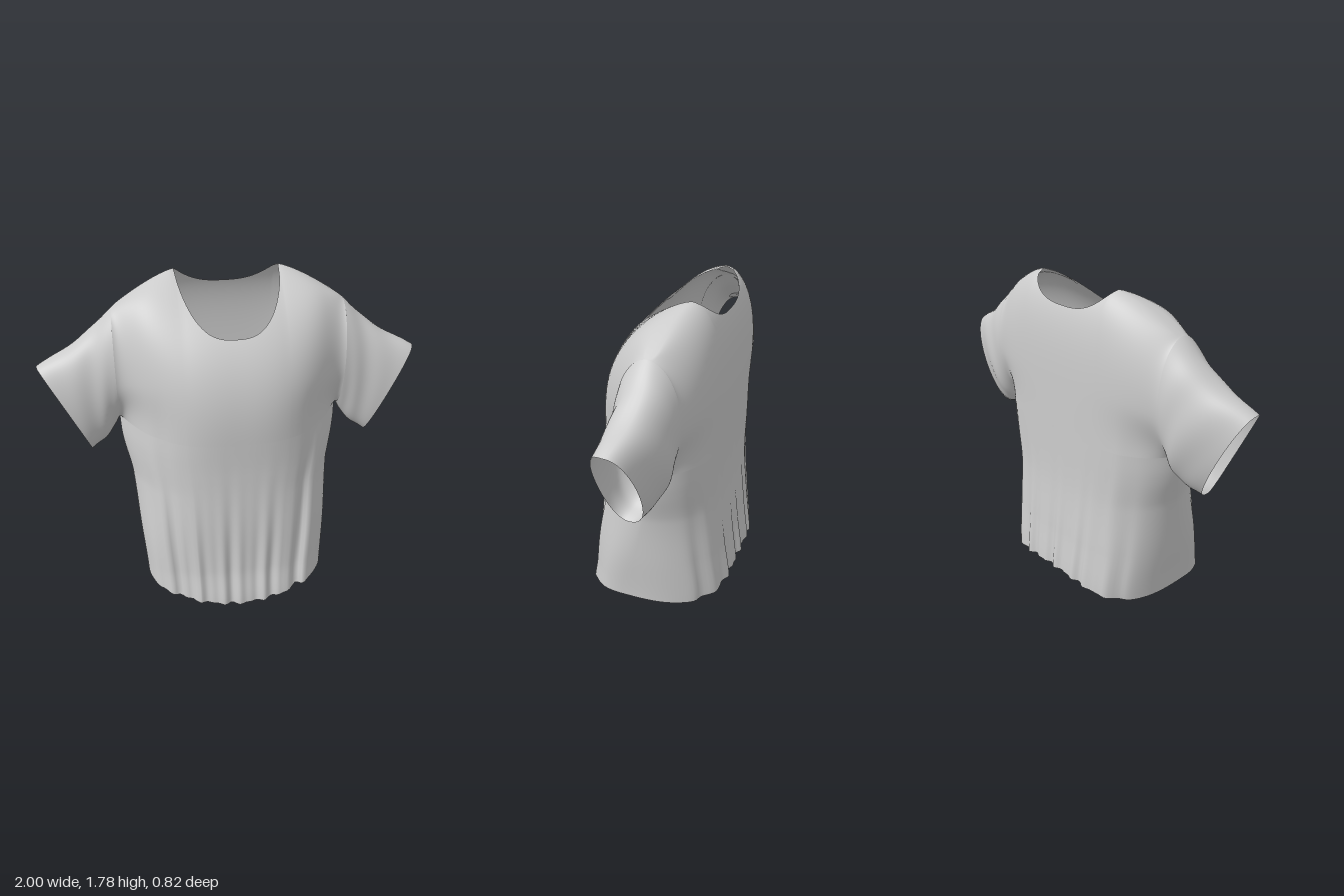
import * as THREE from 'three';
import { mergeGeometries, mergeVertices } from 'three/addons/utils/BufferGeometryUtils.js';

const { lerp, smoothstep, clamp } = THREE.MathUtils;
const V = (x, y, z) => new THREE.Vector3(x, y, z);

const ARMPIT_Y = 1.01, SHOULDER_X = 0.6, NECK_X = 0.27, NECK_U = NECK_X / SHOULDER_X;
const SEAM_Z = -0.09;                 // side seam depth at the armpit
const HALF = 48, LOW = 44, UP = 32;   // columns per half, rows below and above the armpit

// Smooth lookup through a few [y, value] pairs
function profile(pairs) {
  const curve = new THREE.SplineCurve(pairs.map(([y, v]) => new THREE.Vector2(y, v)));
  return (y) => {
    let i = 0;
    while (i < pairs.length - 2 && y > pairs[i + 1][0]) i++;
    const f = clamp((y - pairs[i][0]) / (pairs[i + 1][0] - pairs[i][0]), 0, 1);
    return curve.getPoint((i + f) / (pairs.length - 1)).y;
  };
}
const width = profile([[0.1, 0.505], [0.4, 0.53], [0.7, 0.552], [0.88, 0.59], [ARMPIT_Y, SHOULDER_X]]);
const frontZ = profile([[0, 0.405], [0.2, 0.37], [0.5, 0.352], [0.8, 0.333], [ARMPIT_Y, 0.33]]);
const backZ = profile([[0.15, -0.4], [0.4, -0.37], [0.7, -0.341], [ARMPIT_Y, -0.335]]);

// Vertical drape folds: ripples at the hem, longer grooves towards the sides
function folds(u, y, side) {
  const a = Math.abs(u);
  const hemFade = (1 - smoothstep(y, 0.05, 1.2)) ** 2, longFade = 1 - smoothstep(y, 0.4, 1.35);
  const ripple = Math.sin(u * 27 + side) + 0.7 * Math.sin(u * 43 + 2 * side + 0.6);
  const groove = Math.exp(-(((a - 0.66) / 0.05) ** 2)) - 0.6 * Math.exp(-(((a - 0.78) / 0.06) ** 2));
  return (1 - a ** 8) * (0.008 * hemFade * ripple - 0.024 * longFade * groove * (side > 0 ? 1 : 0.4));
}

// Shoulder line, carried level across the neck
function shoulderLine(u) {
  const s = clamp((Math.abs(u) - NECK_U) / (1 - NECK_U), 0, 1);
  return { y: 1.78 - 0.16 * s ** 1.4, z: lerp(-0.18, SEAM_Z, s) };
}

// How far the neckline dips below the shoulder line (side +1 front, -1 back)
function neckDip(u, side) {
  const k = Math.max(0, 1 - (Math.abs(u) / NECK_U) ** 2.8);
  return side > 0 ? 0.25 * k ** 0.8 : 0.11 * k ** 0.9;
}

// Column spacing: half of the columns across the neck, the rest bunch at the sides
function columnU(i) {
  const n = (i - HALF) / HALF, a = Math.abs(n), corner = Math.asin(NECK_U);
  const ang = a < 0.5 ? a * 2 * corner : lerp(corner, Math.PI / 2, a * 2 - 1);
  return Math.sign(n) * Math.sin(ang);
}

// How far a column bulges from the side seam: boxy at the hem, flatter at the
// chest; open is the squared half width of the armhole
function bulge(u, y, side, open) {
  const round = Math.max(0, 1 - Math.abs(u) ** (side > 0 ? 3 : 3.8));
  const power = lerp(0.35, side > 0 ? 1.1 : 0.8, smoothstep(y, 0.15, 1.35));
  return Math.sqrt(round ** (2 * power) * (1 - open) + open);
}

// Point on the front or back panel at column u and row j
function panelPoint(u, j, side) {
  if (j <= LOW) {
    const hem = side > 0 ? 0.11 * Math.abs(u) ** 1.6 : 0.18 - 0.07 * u * u;
    const y = lerp(hem, ARMPIT_Y, j / LOW);
    const seam = lerp(0.1, SEAM_Z, clamp((y - 0.11) / (ARMPIT_Y - 0.11), 0, 1));
    const mid = side > 0 ? frontZ(y) : backZ(y);
    return V(u * width(y), y, lerp(seam, mid, bulge(u, y, side, 0)) + folds(u, y, side));
  }
  const a = Math.abs(u), row = (1 - Math.cos(Math.PI * (j - LOW) / UP)) / 2;
  const top = shoulderLine(u);
  const y = lerp(ARMPIT_Y, top.y - neckDip(u, side), row);
  const t = Math.min(1, (y - ARMPIT_Y) / (top.y - ARMPIT_Y));
  const open = (side > 0 ? 0.15 : 0.43) * 4 * t * (1 - t) * lerp(smoothstep(t, 0, 0.4), 1, a ** 10);
  const chest = lerp(SEAM_Z, side > 0 ? 0.33 : -0.335, bulge(u, y, side, open));
  // the cloth rolls over the shoulder, more roundly towards the sleeve
  const roll = side > 0 ? lerp(0.75, 0.5, smoothstep(a, 0.4, 0.8)) : 0.55;
  const over = Math.max(0, 1 - t ** (side > 0 ? 2.6 : 5)) ** (roll * (1 - 0.95 * a ** 6));
  return V(u * SHOULDER_X, y, lerp(top.z, chest, over) + folds(u, y, side));
}

// Grid surface from a point rule
function grid(nu, nv, point, flip) {
  const pos = [], index = [];
  for (let j = 0; j <= nv; j++)
    for (let i = 0; i <= nu; i++) pos.push(...point(i, j).toArray());
  for (let j = 0; j < nv; j++)
    for (let i = 0; i < nu; i++) {
      const a = j * (nu + 1) + i, b = a + 1, c = b + nu + 1, d = a + nu + 1;
      index.push(...(flip ? [a, c, b, a, d, c] : [a, b, c, a, c, d]));
    }
  const g = new THREE.BufferGeometry();
  g.setAttribute('position', new THREE.Float32BufferAttribute(pos, 3));
  g.setIndex(index);
  return g;
}

function smooth(geometry) {
  const g = mergeVertices(geometry, 1e-4);
  g.computeVertexNormals();
  return g;
}

// Sleeve: k runs round from the armpit over the front, shoulder and back
const SLEEVE_STEPS = 26;
function sleevePoint(s, k, sx) {
  const kk = k % (2 * UP), phi = Math.PI * kk / UP;
  const c = -Math.cos(phi), n = Math.sin(phi);
  const wide = Math.sign(n) * Math.abs(n) ** 0.8;
  const side = kk <= UP ? 1 : -1;
  const start = panelPoint(1, LOW + (kk <= UP ? kk : 2 * UP - kk), side);
  const middle = V(0.71 + 0.055 * c, 1.195 + 0.275 * c, -0.087 + 0.148 * wide);
  const cuff = V(0.882 + 0.118 * c - 0.035 * Math.max(0, n), 1.095 + 0.247 * c, -0.046 + 0.114 * wide);
  const p = new THREE.CatmullRomCurve3([start, middle, cuff]).getPoint(s);
  // faint creases
  const crease = 0.004 * Math.sin(Math.PI * s) * Math.sin(11 * s + 3 * phi);
  p.y += crease * c;
  p.z += crease * n;
  p.x *= sx;
  return p;
}

export function createModel() {
  const shirt = new THREE.Group();
  shirt.name = 'shirt';
  const fabric = new THREE.MeshStandardMaterial({ color: 0xcccccc, side: THREE.DoubleSide });
  const add = (name, geometry) => {
    const mesh = new THREE.Mesh(geometry, fabric);
    mesh.name = name;
    shirt.add(mesh);
  };

  // Body: front and back panels joined at the side seams and shoulders
  const panels = [1, -1].map((side) =>
    grid(2 * HALF, LOW + UP, (i, j) => panelPoint(columnU(i), j, side), side < 0));
  add('body', smooth(mergeGeometries(panels)));

  // Sleeves
  for (const [sx, label] of [[1, 'left'], [-1, 'right']])
    add(label + 'Sleeve', smooth(grid(SLEEVE_STEPS, 2 * UP,
      (i, k) => sleevePoint(i / SLEEVE_STEPS, k, sx), sx < 0)));

  return shirt;
}
